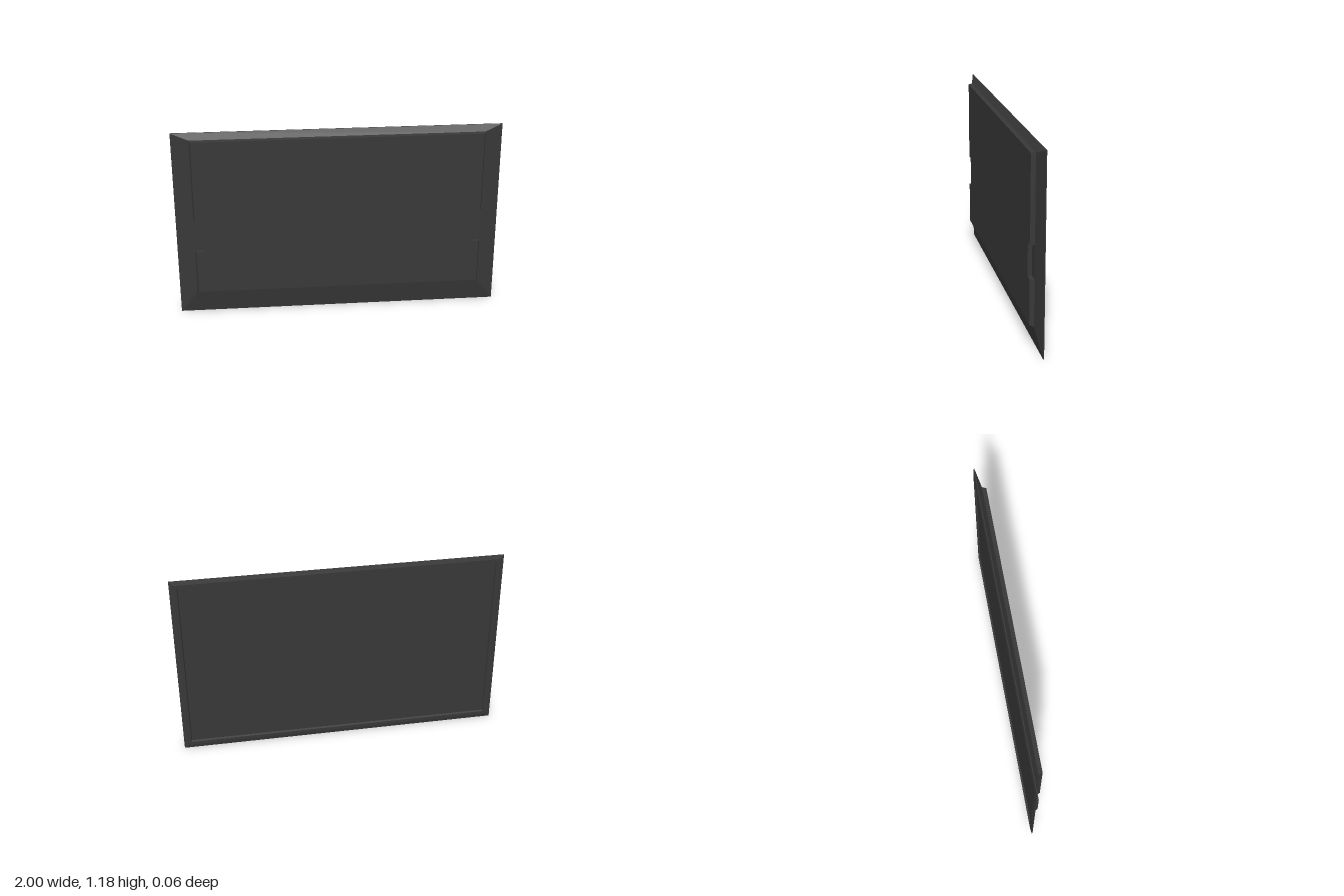
import * as THREE from 'three';

const material = new THREE.MeshStandardMaterial({ color: 0x383838, flatShading: true });

// Joins matching outlines (front to back, counter-clockwise from the front) and caps both ends.
function loft(name, rings) {
  const pos = [];
  const put = (...pts) => pts.forEach(p => pos.push(p[0], p[1], p[2]));
  for (let r = 0; r < rings.length - 1; r++) {
    const a = rings[r], b = rings[r + 1], n = a.length;
    for (let i = 0; i < n; i++) {
      const j = (i + 1) % n;
      put(a[i], b[i], b[j], a[i], b[j], a[j]);
    }
  }
  const cap = (ring, back) => {
    const flat = ring.map(p => new THREE.Vector2(p[0], p[1]));
    for (const [i, j, k] of THREE.ShapeUtils.triangulateShape(flat, [])) {
      if (back) put(ring[i], ring[k], ring[j]);
      else put(ring[i], ring[j], ring[k]);
    }
  };
  cap(rings[0], false);
  cap(rings[rings.length - 1], true);
  const geometry = new THREE.BufferGeometry();
  geometry.setAttribute('position', new THREE.Float32BufferAttribute(pos, 3));
  geometry.computeVertexNormals();
  const mesh = new THREE.Mesh(geometry, material);
  mesh.name = name;
  return mesh;
}

const H = 1.184;
const rect = (x, y0, y1, z) => [[-x, y0, z], [x, y0, z], [x, y1, z], [-x, y1, z]];
const inset = (d, z) => rect(1 - d, d, H - d, z);

// Rectangle with a notch cut in the middle of each side.
function notched(x, y0, y1, z) {
  const nx = 0.833, n0 = 0.43, n1 = 0.63;
  const right = [[x, y0], [x, n0], [nx, n0], [nx, n1], [x, n1], [x, y1]];
  const left = right.map(([px, py]) => [-px, py]).reverse();
  return [...right, ...left].map(([px, py]) => [px, py, z]);
}

export function createModel() {
  const group = new THREE.Group();
  group.name = 'wallPanel';

  // Sloped frame, thin outer edge, chamfered back rim and shallow rear recess
  group.add(loft('frame', [
    rect(0.892, 0.147, 1.145, 0.006),
    inset(0, -0.02),
    inset(0, -0.025),
    inset(0.025, -0.031),
    inset(0.045, -0.031),
    inset(0.05, -0.02),
  ]));

  // Raised front plate with tapered sides and a notch on each side
  group.add(loft('frontPlate', [
    notched(0.882, 0.156, 1.14, 0.031),
    notched(0.892, 0.147, 1.145, 0.005),
  ]));

  return group;
}
